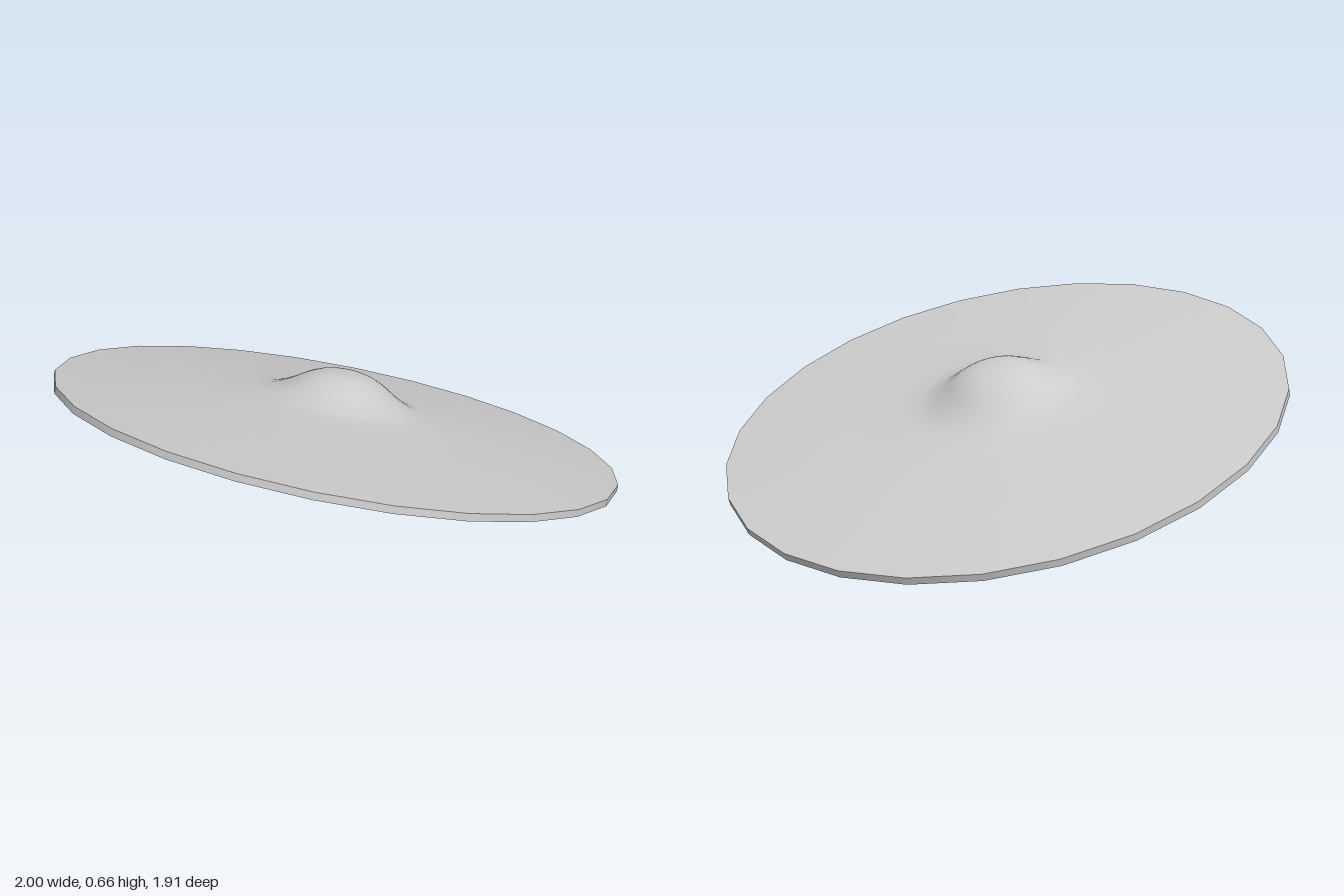
import * as THREE from 'three';

const RADIUS = 1.004;
const THICKNESS = 0.025;
const SIDES = 26;

// Bell-shaped section of the shell, from the rim in to the crown
const section = [
  [RADIUS, 0.0125], [0.7, 0.042], [0.5, 0.059], [0.38, 0.071], [0.3, 0.082],
  [0.25, 0.096], [0.2, 0.12], [0.13, 0.163], [0.07, 0.185], [0, 0.192],
].map(([r, h]) => new THREE.Vector2(r, h));

export function createModel() {
  const group = new THREE.Group();
  group.name = 'domedDisc';
  const material = new THREE.MeshStandardMaterial({ color: 0xcccccc });

  const top = new THREE.SplineCurve(section).getPoints(45);
  top[top.length - 1].x = 0;
  const under = top.map((p) => new THREE.Vector2(p.x, p.y - THICKNESS)).reverse();

  // Disc tilted up at the front and towards its left
  const disc = new THREE.Group();
  disc.name = 'tiltedDisc';
  const normal = new THREE.Vector3(-0.1, 1, -0.32).normalize();
  disc.quaternion.setFromUnitVectors(new THREE.Vector3(0, 1, 0), normal);

  const addLathe = (name, points) => {
    const mesh = new THREE.Mesh(
      new THREE.LatheGeometry(points, SIDES, Math.PI / 2), material);
    mesh.name = name;
    disc.add(mesh);
  };

  // Separate surfaces keep the rim edges sharp
  addLathe('upperSurface', top);
  addLathe('lowerSurface', under);
  addLathe('rim', [under[under.length - 1], top[0]]);
  group.add(disc);

  // Stand the lowest rim corner on the ground
  disc.updateMatrixWorld(true);
  disc.position.y = -new THREE.Box3().setFromObject(disc, true).min.y;
  return group;
}
